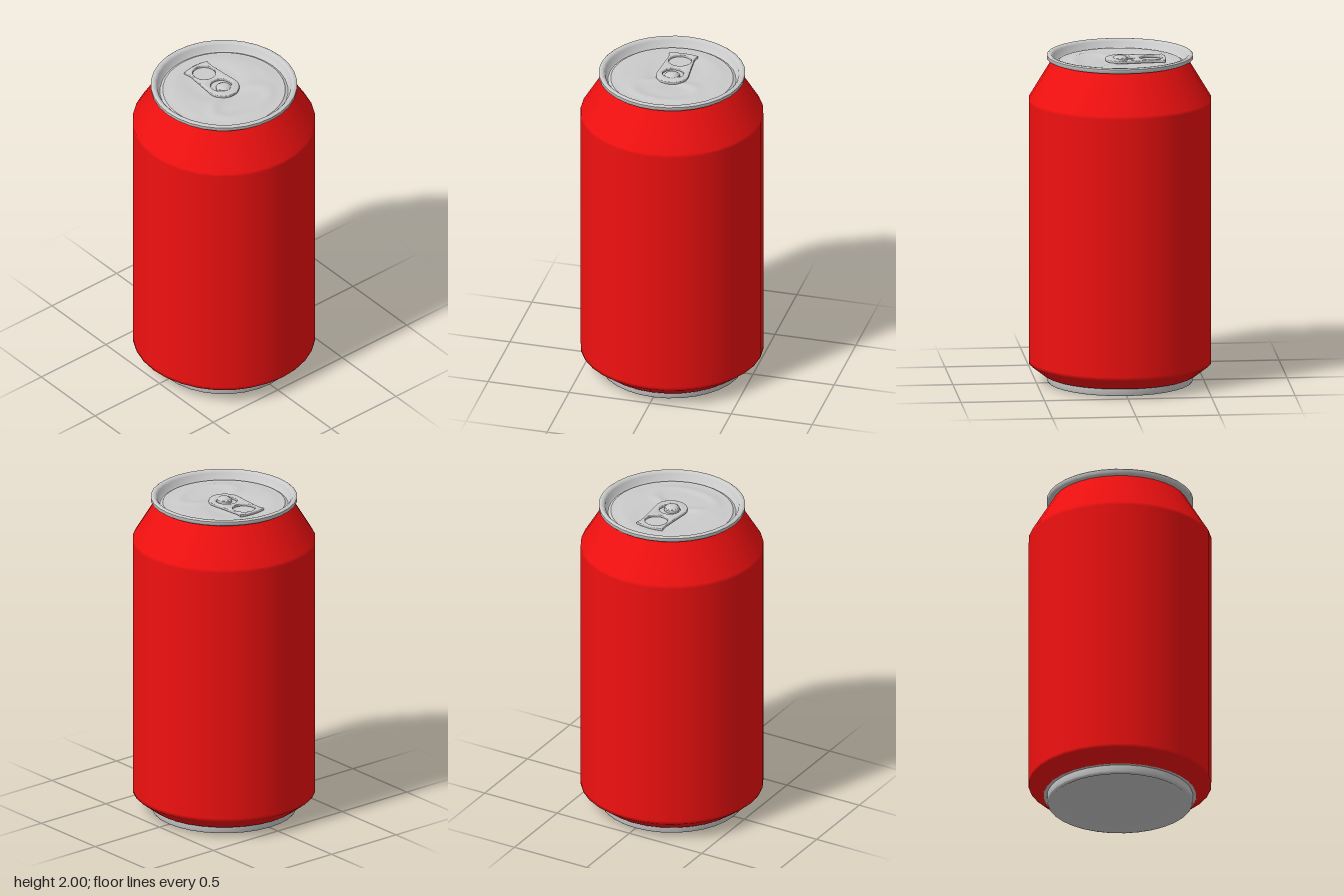
import * as THREE from 'three';
import { mergeVertices, toCreasedNormals } from 'three/addons/utils/BufferGeometryUtils.js';

const SIDES = 32;
const grey = new THREE.MeshStandardMaterial({ color: 0xcccccc });
const red = new THREE.MeshStandardMaterial({ color: 0xf01010 });

const lathe = (pts, sides = SIDES) =>
  new THREE.LatheGeometry(pts.map(([r, y]) => new THREE.Vector2(r, y)), sides);

function part(name, geometry, material = grey) {
  const mesh = new THREE.Mesh(geometry, material);
  mesh.name = name;
  return mesh;
}

const bump = (d, width) => Math.exp(-((d / width) ** 2));

// Pressed relief of the lid panel: mouth ring in front, shallow recess round the tab
function panelHeight(x, z) {
  const r = Math.hypot(x, z);
  const mouth = Math.hypot(x / 0.2, (z - 0.16) / 0.115);
  const ring = 0.007 * bump(mouth - 1, 0.22);
  const tabRecess = -0.007 * bump(Math.max(0, Math.hypot(x / 0.17, (z + 0.1) / 0.2) - 0.75), 0.3);
  const shoulder = 0.005 * THREE.MathUtils.smoothstep(0.1 - z + 0.25 * Math.abs(x), 0, 0.1);
  const fade = 1 - THREE.MathUtils.smoothstep(r, 0.29, 0.36);
  return 1.953 + fade * (ring + tabRecess + shoulder);
}

function lidPanel() {
  const pts = [];
  for (let i = 0; i <= 20; i++) pts.push([0.365 * (1 - i / 20), 1.953]);
  let geo = lathe(pts, 64);
  const p = geo.attributes.position;
  for (let i = 0; i < p.count; i++) p.setY(i, panelHeight(p.getX(i), p.getZ(i)));
  geo.deleteAttribute('normal');
  geo.deleteAttribute('uv');
  geo = mergeVertices(geo);
  geo.computeVertexNormals();
  return geo;
}

// Pull tab outline, drawn flat with its free end towards +y
function tabGeometry() {
  const s = new THREE.Shape();
  s.moveTo(-0.083, 0.258);
  s.quadraticCurveTo(-0.07, 0.23, -0.078, 0.17);
  s.quadraticCurveTo(-0.085, 0.08, -0.092, 0.01);
  s.absarc(0, 0.01, 0.092, Math.PI, Math.PI * 2, false);
  s.quadraticCurveTo(0.085, 0.08, 0.078, 0.17);
  s.quadraticCurveTo(0.07, 0.23, 0.083, 0.258);
  s.quadraticCurveTo(0, 0.278, -0.083, 0.258);

  // Finger hole
  const finger = new THREE.Path();
  finger.absarc(0, 0.185, 0.074, 0, Math.PI * 2, true);

  // Crescent slot round the rivet tongue
  const slot = new THREE.Path();
  slot.moveTo(0.06, -0.03);
  slot.absarc(0, 0.025, 0.069, -0.6, Math.PI + 0.6, false);
  slot.lineTo(-0.03, -0.03);
  slot.absarc(0, 0.003, 0.04, Math.PI + 0.7, -0.7, true);
  s.holes.push(finger, slot);

  const geo = new THREE.ExtrudeGeometry(s, {
    depth: 0.008, bevelEnabled: true, bevelThickness: 0.006, bevelSize: 0.006,
    bevelSegments: 2, curveSegments: 16,
  });
  geo.rotateX(-Math.PI / 2);
  return toCreasedNormals(geo, 0.9);
}

export function createModel() {
  const can = new THREE.Group();
  can.name = 'drinkCan';

  // Painted wall with tapered neck and foot
  can.add(part('body', lathe([
    [0.455, 0.05], [0.545, 0.12], [0.545, 0.14], [0.545, 1.71], [0.545, 1.73], [0.4, 1.97],
  ]), red));

  // Foot ring and slightly dished underside
  can.add(part('base', toCreasedNormals(lathe([
    [0, 0.025], [0.34, 0.022], [0.395, 0.012], [0.415, 0], [0.43, 0.003], [0.435, 0.012],
    [0.435, 0.05], [0.458, 0.052],
  ]), 0.9)));

  // Rolled rim and the groove inside it
  can.add(part('rim', toCreasedNormals(lathe([
    [0.395, 1.967], [0.43, 1.967], [0.437, 1.973], [0.437, 1.993], [0.428, 2],
    [0.412, 1.998], [0.4, 1.985], [0.392, 1.95], [0.382, 1.943], [0.372, 1.946], [0.365, 1.953],
  ]), 0.9)));

  can.add(part('lidPanel', lidPanel()));

  // Tab and the rivet that holds it
  const tab = part('pullTab', tabGeometry());
  tab.position.y = 1.96;
  can.add(tab);

  can.add(part('rivet', toCreasedNormals(lathe([
    [0.042, 1.95], [0.042, 1.975], [0.036, 1.978], [0.034, 1.982], [0.026, 1.986], [0, 1.987],
  ], 20), 0.9)));

  return can;
}
